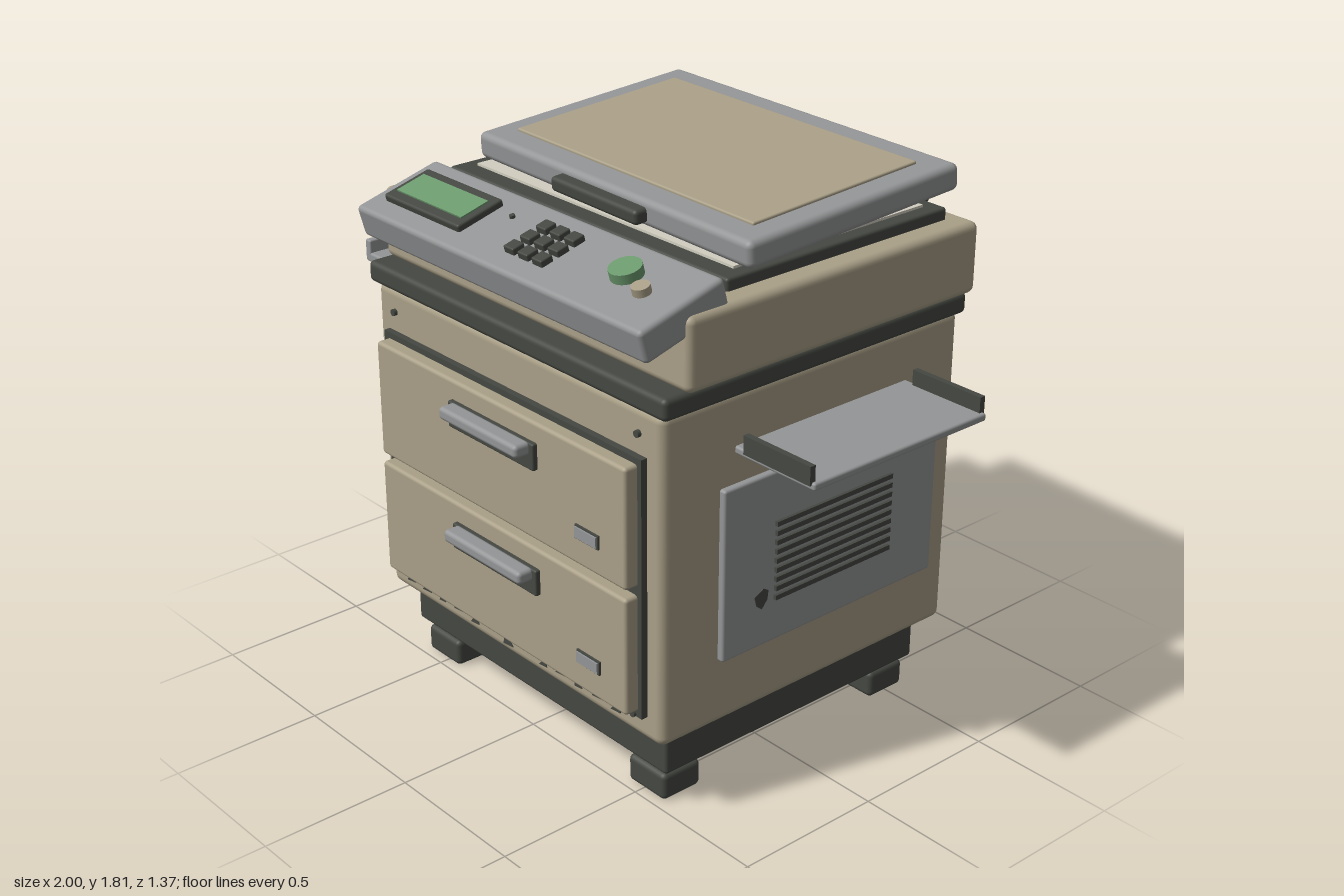
import * as THREE from 'three';
import { RoundedBoxGeometry } from 'three/addons/geometries/RoundedBoxGeometry.js';

const material = (name, color) => {
  const m = new THREE.MeshStandardMaterial({ color });
  m.name = name;
  return m;
};

export function createModel() {
  const beige = material('beige casing', 0xaaa088);
  const grey = material('grey plastic', 0x949596);
  const dark = material('dark trim', 0x454842);
  const green = material('green display', 0x6c9a6e);
  const cream = material('paper cream', 0xd2cec0);

  const model = new THREE.Group();
  model.name = 'photocopier';

  const add = (parent, name, geometry, mat, x, y, z) => {
    const mesh = new THREE.Mesh(geometry, mat);
    mesh.name = name;
    mesh.position.set(x, y, z);
    parent.add(mesh);
    return mesh;
  };
  // Box given by its limits; r rounds the edges
  const box = (parent, name, mat, [x0, x1], [y0, y1], [z0, z1], r = 0) => {
    const s = [x1 - x0, y1 - y0, z1 - z0];
    const geo = r ? new RoundedBoxGeometry(...s, 3, r) : new THREE.BoxGeometry(...s);
    return add(parent, name, geo, mat, (x0 + x1) / 2, (y0 + y1) / 2, (z0 + z1) / 2);
  };
  const cylinder = (parent, name, mat, r, h, x, y, z, axis = 'y') => {
    const geo = new THREE.CylinderGeometry(r, r, h, 24);
    if (axis === 'x') geo.rotateZ(Math.PI / 2);
    if (axis === 'z') geo.rotateX(Math.PI / 2);
    return add(parent, name, geo, mat, x, y, z);
  };
  const group = (name, x = 0, y = 0, z = 0) => {
    const g = new THREE.Group();
    g.name = name;
    g.position.set(x, y, z);
    model.add(g);
    return g;
  };

  // Cabinet
  box(model, 'body', beige, [-0.68, 0.68], [0.26, 1.335], [-0.65, 0.55], 0.03);
  box(model, 'plinth', dark, [-0.63, 0.625], [0.115, 0.28], [-0.58, 0.485], 0.012);
  box(model, 'collar', dark, [-0.71, 0.7], [1.325, 1.395], [-0.66, 0.56], 0.018);
  box(model, 'scannerHousing', beige, [-0.72, 0.715], [1.39, 1.62], [-0.68, 0.485], 0.025);

  // Feet
  for (const x of [-0.52, 0.515]) for (const z of [-0.495, 0.395]) {
    box(model, 'foot', dark, [x - 0.084, x + 0.084], [0, 0.092], [z - 0.075, z + 0.075], 0.018);
    box(model, 'footNeck', dark, [x - 0.065, x + 0.065], [0.08, 0.125], [z - 0.056, z + 0.056]);
  }

  // Drawers in their dark surround
  box(model, 'drawerSurround', dark, [-0.62, 0.615], [0.345, 1.19], [0.54, 0.572]);
  for (const y of [0.365, 0.782]) {
    const drawer = group('drawer', 0, y, 0);
    box(drawer, 'drawerFront', beige, [-0.602, 0.598], [0, 0.388], [0.56, 0.617], 0.012);
    box(drawer, 'handleRecess', dark, [-0.21, 0.205], [0.238, 0.325], [0.61, 0.634], 0.006);
    box(drawer, 'handleGrip', grey, [-0.19, 0.188], [0.285, 0.327], [0.625, 0.685], 0.014);
    box(drawer, 'labelFrame', dark, [0.38, 0.485], [0.09, 0.135], [0.61, 0.624]);
    box(drawer, 'label', grey, [0.385, 0.48], [0.095, 0.13], [0.62, 0.629]);
  }
  for (const x of [-0.585, 0.58]) for (const y of [0.352, 1.255])
    cylinder(model, 'screw', dark, 0.011, 0.02, x, y, y > 1 ? 0.552 : 0.57, 'z');

  // Row of chipped marks along the lower front
  for (let i = 0; i < 13; i++) {
    const s = 0.021 + 0.004 * Math.sin(i * 2.3);
    const tip = 0.9 * s * Math.sin(i * 1.7);
    const chip = new THREE.Shape([
      new THREE.Vector2(-s, -s * 0.8), new THREE.Vector2(s, -s * 0.6), new THREE.Vector2(tip, s)]);
    add(model, 'frontChip', new THREE.ExtrudeGeometry(chip, { depth: 0.004, bevelEnabled: false }),
      dark, -0.57 + i * 0.0868, 0.317 + 0.008 * Math.sin(i * 2.9), 0.549);
  }

  // Side vent panel
  box(model, 'ventPanel', grey, [0.67, 0.702], [0.48, 1.045], [-0.557, 0.333], 0.009);
  for (let i = 0; i < 9; i++) {
    const y = 0.63 + i * 0.0307;
    box(model, 'ventSlat', dark, [0.695, 0.712], [y - 0.008, y + 0.008], [-0.355, 0.13]);
  }
  const stain = new THREE.Shape([[-0.03, 0.012], [-0.022, -0.02], [0, -0.038], [0.022, -0.012],
    [0.026, 0.018], [0.006, 0.03], [-0.008, 0.022]].map(([a, b]) => new THREE.Vector2(a, b)));
  add(model, 'ventStain', new THREE.ExtrudeGeometry(stain, { depth: 0.004, bevelEnabled: false }),
    dark, 0.7, 0.645, 0.18).rotation.y = Math.PI / 2;

  // Output tray on the right-hand view side
  box(model, 'outputTray', grey, [0.675, 1], [1.14, 1.165], [-0.427, 0.277], 0.008);
  for (const z of [-0.42, 0.273])
    box(model, 'trayFence', dark, [0.72, 0.987], [1.155, 1.215], [z - 0.01, z + 0.01]);

  // Paper feed tray on the opposite side, with its rollers
  box(model, 'feedTray', grey, [-1, -0.67], [1.262, 1.295], [-0.457, 0.375], 0.008);
  box(model, 'feedTrayLip', grey, [-1, -0.972], [1.27, 1.338], [-0.457, 0.375], 0.006);
  box(model, 'paper', cream, [-0.968, -0.675], [1.29, 1.31], [-0.318, 0.258]);
  for (const z of [-0.313, 0.197])
    cylinder(model, 'feedRoller', dark, 0.036, 0.16, -0.718, 1.363, z, 'z');
  box(model, 'feedSlot', dark, [-0.7, -0.67], [1.305, 1.33], [-0.42, 0.3]);

  // Glass bed
  box(model, 'bedFrame', dark, [-0.645, 0.637], [1.61, 1.658], [-0.615, 0.277], 0.01);
  box(model, 'bedGlass', cream, [-0.59, 0.59], [1.65, 1.666], [-0.56, 0.21]);

  // Hinges
  for (const x of [-0.455, 0.455]) {
    cylinder(model, 'hinge', dark, 0.042, 0.17, x, 1.678, -0.61, 'x');
    box(model, 'hingeBase', dark, [x - 0.07, x + 0.07], [1.61, 1.68], [-0.635, -0.58]);
  }

  // Lid, sitting slightly askew and raised at the back
  const lid = group('lid', 0.015, 1.733, -0.23);
  lid.rotation.set(0.069, -0.029, 0, 'YXZ');
  box(lid, 'lidShell', grey, [-0.645, 0.645], [-0.043, 0.043], [-0.415, 0.415], 0.022);
  box(lid, 'lidPanel', beige, [-0.557, 0.557], [0.035, 0.052], [-0.323, 0.323], 0.006);
  box(lid, 'lidHandle', dark, [-0.215, 0.195], [-0.026, 0.022], [0.4, 0.458], 0.014);

  // Sloping control panel; local y = 0.05 is its top face
  const panel = group('controlPanel', 0.035, 1.607, 0.482);
  panel.rotation.x = 0.265;
  box(panel, 'panelShell', grey, [-0.662, 0.662], [-0.053, 0.053], [-0.158, 0.158], 0.016);
  box(panel, 'displayBezel', dark, [-0.6, -0.226], [0.045, 0.075], [-0.088, 0.086], 0.008);
  box(panel, 'display', green, [-0.574, -0.25], [0.07, 0.08], [-0.053, 0.052]);
  for (let i = 0; i < 3; i++) for (let j = 0; j < 3; j++) {
    const x = 0.008 + i * 0.064, z = -0.062 + j * 0.061;
    box(panel, 'key', dark, [x - 0.023, x + 0.023], [0.045, 0.074], [z - 0.022, z + 0.022], 0.005);
  }
  cylinder(panel, 'startButton', green, 0.05, 0.036, 0.41, 0.066, -0.022);
  cylinder(panel, 'stopButton', beige, 0.028, 0.028, 0.515, 0.064, 0.016);
  cylinder(panel, 'indicator', dark, 0.009, 0.014, -0.145, 0.055, -0.055);

  return model;
}
